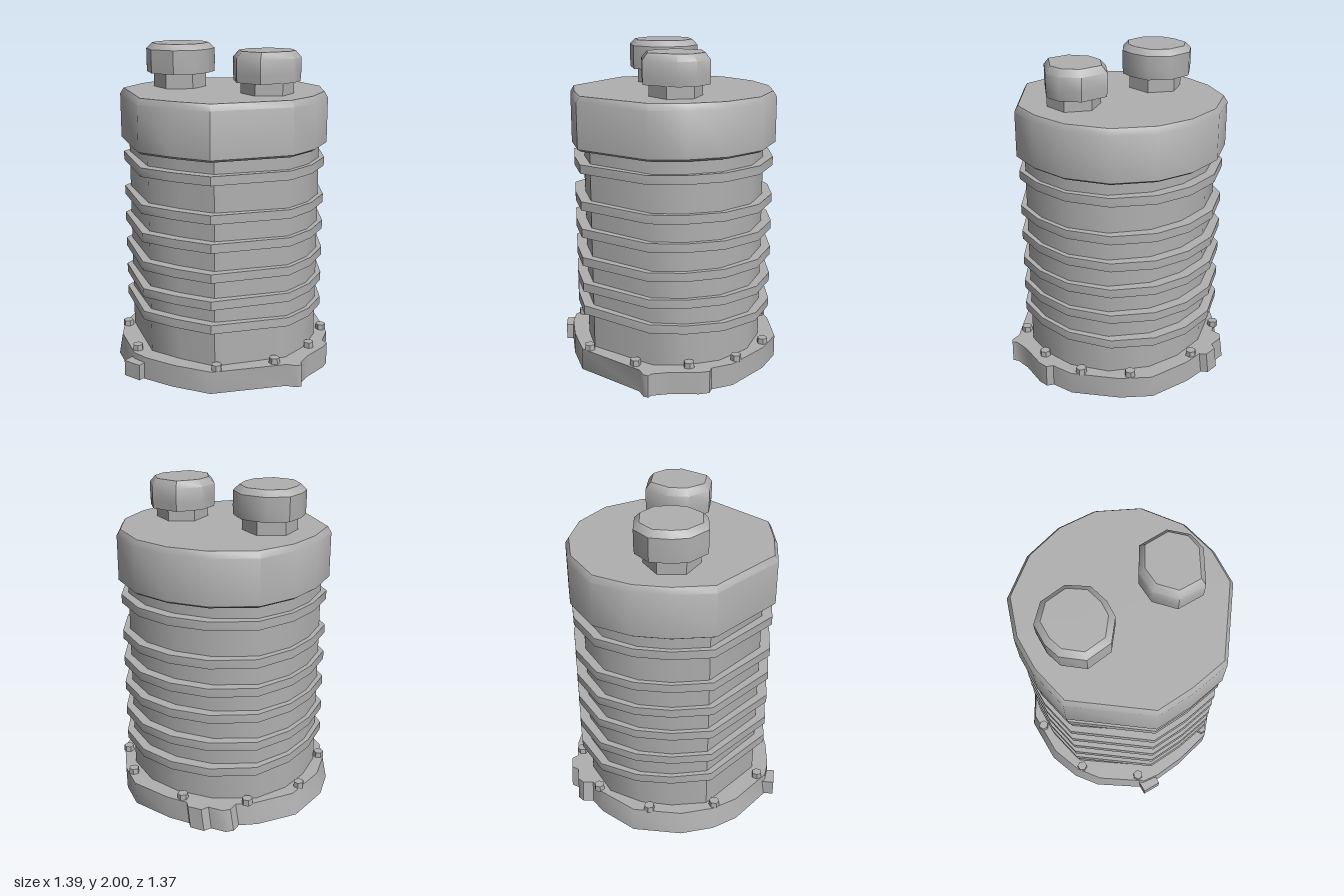
import * as THREE from 'three';
import { toCreasedNormals } from 'three/addons/utils/BufferGeometryUtils.js';

// Outlines as [x, z], clockwise seen from above
const HOUSING = [[0, -0.64], [0.235, -0.6], [0.465, -0.45], [0.6, -0.21], [0.625, 0.03], [0.585, 0.25],
  [0.245, 0.61], [0, 0.625], [-0.235, 0.61], [-0.61, 0.25], [-0.635, 0], [-0.605, -0.22], [-0.495, -0.45], [-0.25, -0.6]];
const BASE = [[0, -0.66], [0.275, -0.625], [0.435, -0.5], [0.62, -0.26], [0.65, -0.12], [0.69, -0.1], [0.695, -0.035],
  [0.66, 0.14], [0.66, 0.245], [0.68, 0.27], [0.66, 0.295], [0.595, 0.31], [0.245, 0.62], [0, 0.65], [-0.21, 0.645],
  [-0.32, 0.62], [-0.56, 0.415], [-0.65, 0.265], [-0.7, 0.06], [-0.665, -0.24], [-0.505, -0.45], [-0.41, -0.52],
  [-0.41, -0.585], [-0.375, -0.62], [-0.28, -0.63], [-0.255, -0.675], [-0.165, -0.685], [-0.135, -0.65]];
const TALL_KNOB = [[-0.08, -0.21], [0.08, -0.21], [0.185, -0.12], [0.203, 0], [0.185, 0.1], [0.08, 0.205],
  [-0.08, 0.205], [-0.185, 0.1], [-0.203, 0], [-0.185, -0.125]];
const SHORT_KNOB = [[-0.085, -0.2], [0.095, -0.185], [0.18, -0.085], [0.185, 0.025], [0.055, 0.205],
  [-0.11, 0.185], [-0.2, 0.06], [-0.19, -0.07]];

// Closed solid from one outline repeated at levels [y, scaleX, scaleZ, shiftX]
function loft(outline, levels) {
  const rows = levels.map(([y, sx, sz, dx = 0]) => outline.map(([x, z]) => [x * sx + dx, y, z * sz]));
  const pos = [];
  const tri = (a, b, c) => pos.push(...a, ...b, ...c);
  const n = outline.length;
  const low = rows[0], high = rows[rows.length - 1];
  for (let i = 0; i < n; i++) {
    const j = (i + 1) % n;
    for (let k = 0; k < rows.length - 1; k++) {
      const p = rows[k], q = rows[k + 1];
      tri(p[i], q[i], q[j]);
      tri(p[i], q[j], p[j]);
    }
    tri([0, high[0][1], 0], high[j], high[i]);
    tri([0, low[0][1], 0], low[i], low[j]);
  }
  const g = new THREE.BufferGeometry();
  g.setAttribute('position', new THREE.Float32BufferAttribute(pos, 3));
  return toCreasedNormals(g, 0.724);
}

export function createModel() {
  const model = new THREE.Group();
  model.name = 'finnedCanister';
  const metal = new THREE.MeshStandardMaterial({ color: 0xb0b0b0 });
  metal.name = 'grey metal';

  const add = (name, geometry, x = 0, y = 0, z = 0) => {
    const mesh = new THREE.Mesh(geometry, metal);
    mesh.name = name;
    mesh.position.set(x, y, z);
    model.add(mesh);
    return mesh;
  };

  // Worn base plate, flared to one side, with a low lug
  add('base', loft(BASE, [[0, 1, 1], [0.142, 0.978, 0.995, 0.015]]));
  add('baseLug', new THREE.BoxGeometry(0.12, 0.1, 0.09), -0.27, 0.055, 0.635).rotation.y = -0.12;

  // Bolts around the base
  const bolts = [[-0.07, -0.615], [0.365, -0.515], [0.565, -0.29], [0.61, 0.01], [0.52, 0.32], [0.26, 0.57],
    [-0.31, 0.56], [-0.585, 0.27], [-0.63, -0.14], [-0.44, -0.47]];
  for (const [x, z] of bolts) {
    const bolt = add('bolt', toCreasedNormals(new THREE.CylinderGeometry(0.032, 0.034, 0.04, 6), 0.5), x, 0.157, z);
    bolt.rotation.y = Math.atan2(x, z);
  }

  // Main drum
  add('body', loft(HOUSING, [[0.13, 0.935, 0.88], [1.45, 0.935, 0.88]]));

  // Cooling fins as [height, tilt about x, tilt about z]
  const fins = [[0.378, -0.035, 0.005], [0.54, -0.012, 0.008], [0.715, -0.003, -0.003],
    [0.89, -0.012, 0.002], [1.065, -0.008, -0.004], [1.295, 0, 0]];
  for (const [y, tiltX, tiltZ] of fins) {
    const fin = add('fin', loft(HOUSING, [[-0.027, 0.98, 0.98], [0.027, 0.98, 0.98]]), 0, y, 0);
    fin.rotation.set(tiltX, 0, tiltZ);
  }

  // Bevelled lid
  add('lid', loft(HOUSING, [[1.4, 0.965, 0.965], [1.415, 1, 1], [1.69, 1, 1], [1.727, 0.965, 0.965]]));

  // Terminals: faceted knob on a hexagonal neck
  const knobs = [
    { name: 'tallTerminal', outline: TALL_KNOB, x: -0.322, z: 0, low: 1.82, top: 2, bevel: 0.035, neck: 0.165 },
    { name: 'shortTerminal', outline: SHORT_KNOB, x: 0.31, z: 0.035, low: 1.8, top: 1.98, bevel: 0.04, neck: 0.16 },
  ];
  for (const k of knobs) {
    add(k.name, loft(k.outline, [[k.low, 0.985, 0.985], [k.low + 0.05, 1, 1],
      [k.top - k.bevel, 1, 1], [k.top, 0.82, 0.84]]), k.x, 0, k.z);
    const neck = new THREE.CylinderGeometry(k.neck, k.neck, 0.14, 6);
    add(k.name + 'Neck', toCreasedNormals(neck, 0.5), k.x, k.low - 0.06, k.z);
  }
  return model;
}
